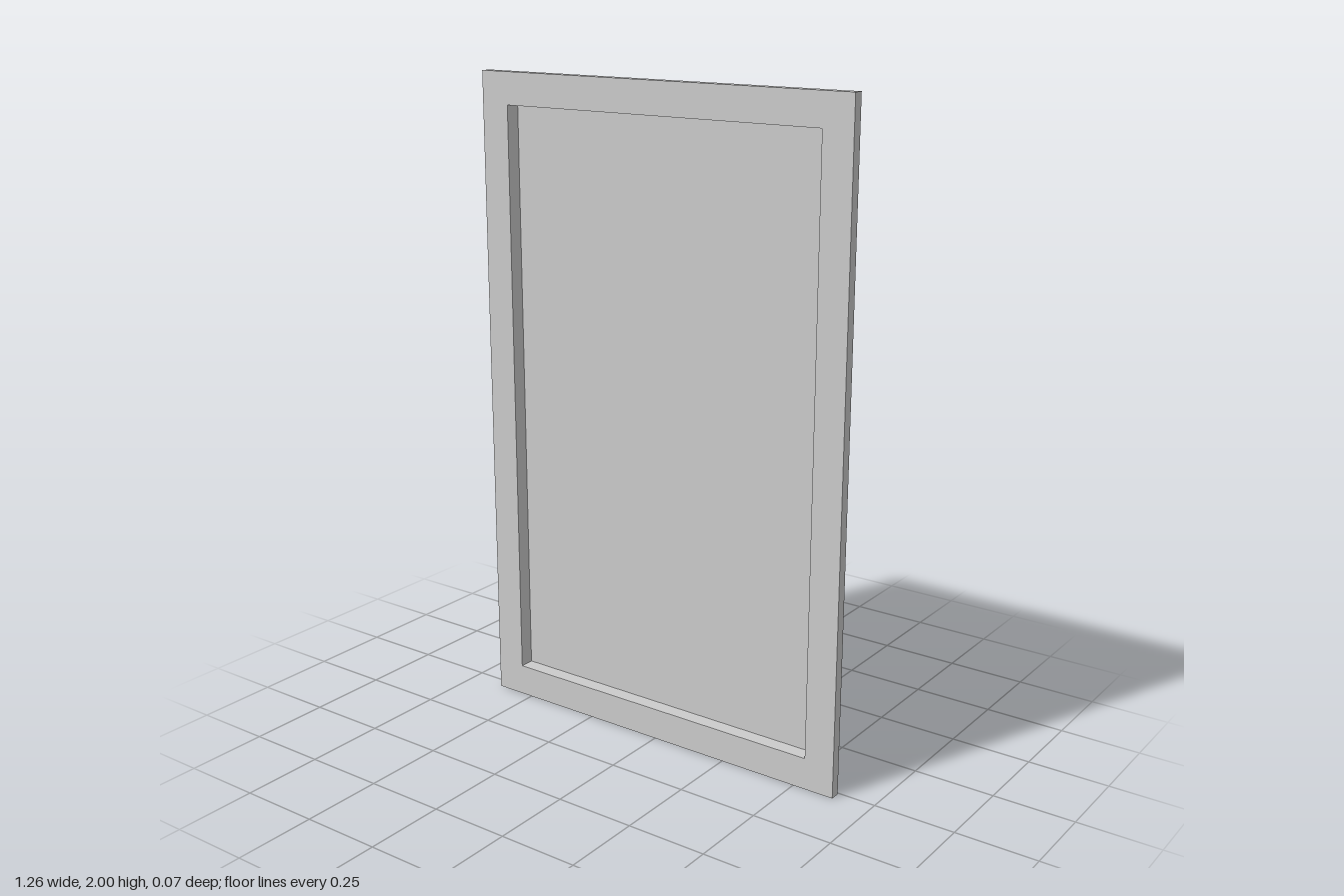
import * as THREE from 'three';

const OPEN_X = 0.537, OPEN_BOTTOM = 0.098, OPEN_TOP = 1.903;

// Path of an upright rectangle, symmetric about x = 0
function trace(path, halfWidth, bottom, top) {
  path.moveTo(-halfWidth, bottom);
  path.lineTo(halfWidth, bottom);
  path.lineTo(halfWidth, top);
  path.lineTo(-halfWidth, top);
  path.closePath();
  return path;
}

// Rectangular frame around the shared opening, from zBack to zFront
function makeFrame(name, halfWidth, bottom, top, zBack, zFront, material) {
  const shape = trace(new THREE.Shape(), halfWidth, bottom, top);
  shape.holes.push(trace(new THREE.Path(), OPEN_X, OPEN_BOTTOM, OPEN_TOP));
  const geometry = new THREE.ExtrudeGeometry(shape, { depth: zFront - zBack, bevelEnabled: false });
  geometry.translate(0, 0, zBack);
  const mesh = new THREE.Mesh(geometry, material);
  mesh.name = name;
  return mesh;
}

export function createModel() {
  const model = new THREE.Group();
  model.name = 'framedPanel';
  const material = new THREE.MeshStandardMaterial({ color: 0xcccccc });

  // Wide face frame in front, slightly smaller rebated frame behind
  model.add(makeFrame('frontFrame', 0.632, 0, 2, 0.006, 0.037, material));
  model.add(makeFrame('backFrame', 0.605, 0.028, 1.972, -0.037, 0.006, material));

  // Thin pane recessed in the opening
  const pane = new THREE.Mesh(
    new THREE.BoxGeometry(OPEN_X * 2, OPEN_TOP - OPEN_BOTTOM, 0.005), material);
  pane.position.set(0, (OPEN_TOP + OPEN_BOTTOM) / 2, -0.012);
  pane.name = 'pane';
  model.add(pane);

  return model;
}
